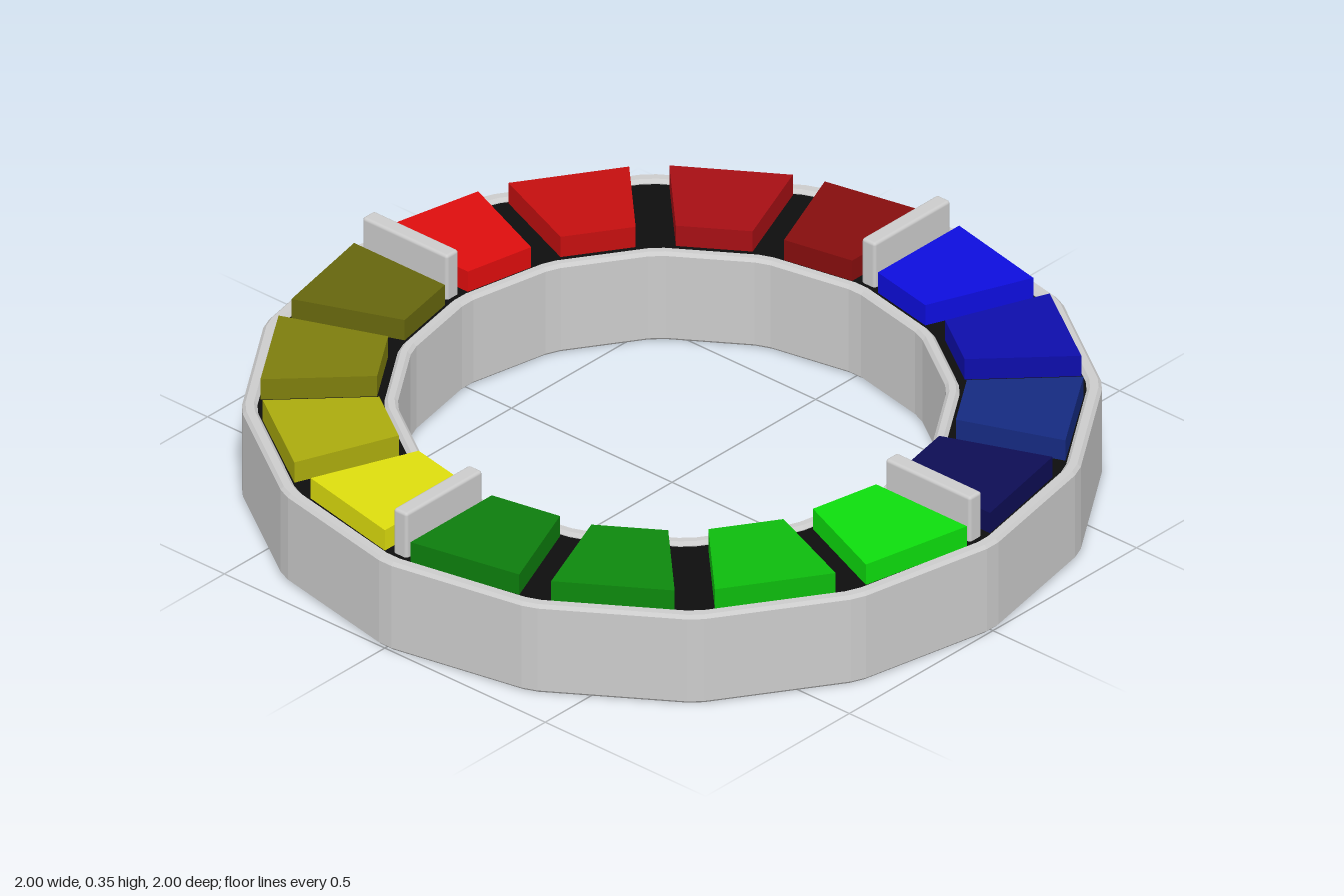
import * as THREE from 'three';
import { RoundedBoxGeometry } from 'three/addons/geometries/RoundedBoxGeometry.js';

const SIDES = 16;
const material = (color) => new THREE.MeshStandardMaterial({ color });

// 16-sided outline with slightly cut corners, one corner on each axis
function outline(radius, cut = 0.02) {
  const step = (Math.PI * 2) / SIDES;
  const corner = (i) => new THREE.Vector2(Math.cos(i * step), Math.sin(i * step)).multiplyScalar(radius);
  const edge = 2 * radius * Math.sin(step / 2);
  const points = [];
  for (let i = 0; i < SIDES; i++) {
    points.push(corner(i).lerp(corner(i - 1), cut / edge), corner(i).lerp(corner(i + 1), cut / edge));
  }
  return points;
}

// Extrude a plan shape (drawn with y pointing to the back) upwards between two heights
function slab(shape, bottom, top, bevel = 0) {
  const geometry = new THREE.ExtrudeGeometry(shape, {
    depth: top - bottom - 2 * bevel,
    bevelEnabled: bevel > 0,
    bevelSize: bevel,
    bevelThickness: bevel,
    bevelOffset: -bevel,
    bevelSegments: 1,
  });
  geometry.rotateX(-Math.PI / 2);
  geometry.translate(0, bottom + bevel, 0);
  return geometry;
}

function ring(name, outer, inner, bottom, top, bevel, mat) {
  const shape = new THREE.Shape(outline(outer));
  shape.holes.push(new THREE.Path(outline(inner)));
  const mesh = new THREE.Mesh(slab(shape, bottom, top, bevel), mat);
  mesh.name = name;
  return mesh;
}

export function createModel() {
  const group = new THREE.Group();
  group.name = 'segmentedRing';
  const grey = material(0xcccccc);

  // Housing: two grey walls around a black core
  group.add(ring('outerWall', 1.003, 0.967, 0, 0.238, 0.008, grey));
  group.add(ring('innerWall', 0.672, 0.64, 0, 0.238, 0.008, grey));
  group.add(ring('core', 0.969, 0.67, 0.004, 0.228, 0, material(0x0d0d0d)));

  // Tile plans of one quadrant; the last two mirror the first two across the diagonal
  const endTile = [[0.04, 0.955], [0.04, 0.672], [0.22, 0.636], [0.325, 0.895]];
  const midTile = [[0.4, 0.868], [0.3, 0.616], [0.45, 0.516], [0.642, 0.708]];
  const mirror = (plan) => plan.map(([x, y]) => [y, x]).reverse();
  const tileGeometries = [endTile, midTile, mirror(midTile), mirror(endTile)].map((plan) =>
    slab(new THREE.Shape(plan.map(([x, y]) => new THREE.Vector2(x, y))), 0.22, 0.283));
  const dividerGeometry = new RoundedBoxGeometry(0.042, 0.135, 0.265, 2, 0.008);

  // Clockwise from the back
  const quadrants = [
    ['blue', [0x0d0ddd, 0x0d0daa, 0x152a80, 0x0d0d55]],
    ['green', [0x0ddd0d, 0x0dbb0d, 0x0d880d, 0x0d7d0d]],
    ['yellow', [0xdddd0d, 0xaaaa0d, 0x7d7d0d, 0x66660d]],
    ['red', [0xdd0d0d, 0xc40f0f, 0xa60f14, 0x850d0d]],
  ];
  quadrants.forEach(([name, colors], q) => {
    const quadrant = new THREE.Group();
    quadrant.name = `${name}Quadrant`;
    quadrant.rotation.y = (-q * Math.PI) / 2;
    colors.forEach((color, i) => {
      const tile = new THREE.Mesh(tileGeometries[i], material(color));
      tile.name = `${name}Tile${i + 1}`;
      quadrant.add(tile);
    });
    // Upright divider at the start of the quadrant
    const divider = new THREE.Mesh(dividerGeometry, grey);
    divider.name = 'divider';
    divider.position.set(0, 0.28, -0.815);
    quadrant.add(divider);
    group.add(quadrant);
  });
  return group;
}
